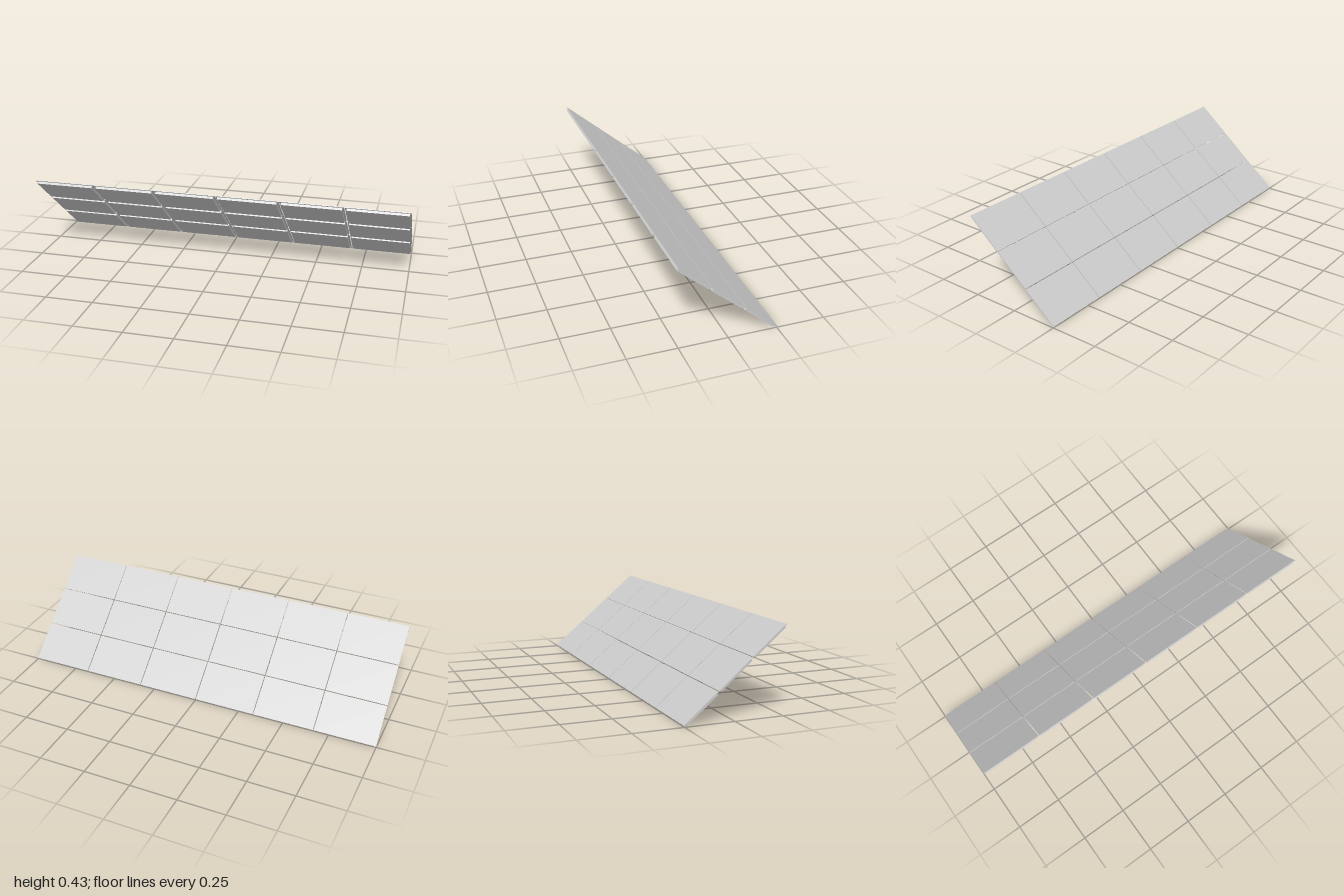
import * as THREE from 'three';

export function createModel() {
  const model = new THREE.Group();
  const grey = new THREE.MeshStandardMaterial({ color: 0xcccccc });
  grey.name = 'light grey';

  const columns = 6, rows = 3, gap = 0.0045;
  const width = (2 - (columns - 1) * gap) / columns;
  const length = 0.2175, inset = 0.0087;
  const sheet = 0.004, depth = 0.0125;

  const plateGeo = new THREE.BoxGeometry(width, sheet, length);
  const bodyGeo = new THREE.BoxGeometry(width - 2 * inset, depth, length - 2 * inset);

  // Whole array tilts up towards the front; local y = 0 is the top surface
  const array = new THREE.Group();
  array.name = 'panelArray';
  array.rotation.x = THREE.MathUtils.degToRad(-40);
  array.position.y = 0.22;
  model.add(array);

  for (let r = 0; r < rows; r++) {
    for (let c = 0; c < columns; c++) {
      const panel = new THREE.Group();
      panel.name = 'panel';
      panel.position.set(
        (c - (columns - 1) / 2) * (width + gap), 0,
        (r - (rows - 1) / 2) * (length + gap));

      // Thin top sheet
      const plate = new THREE.Mesh(plateGeo, grey);
      plate.name = 'topSheet';
      plate.position.y = -sheet / 2;

      // Smaller backing block underneath
      const body = new THREE.Mesh(bodyGeo, grey);
      body.name = 'backing';
      body.position.y = -sheet - depth / 2;

      panel.add(plate, body);
      array.add(panel);
    }
  }
  return model;
}
